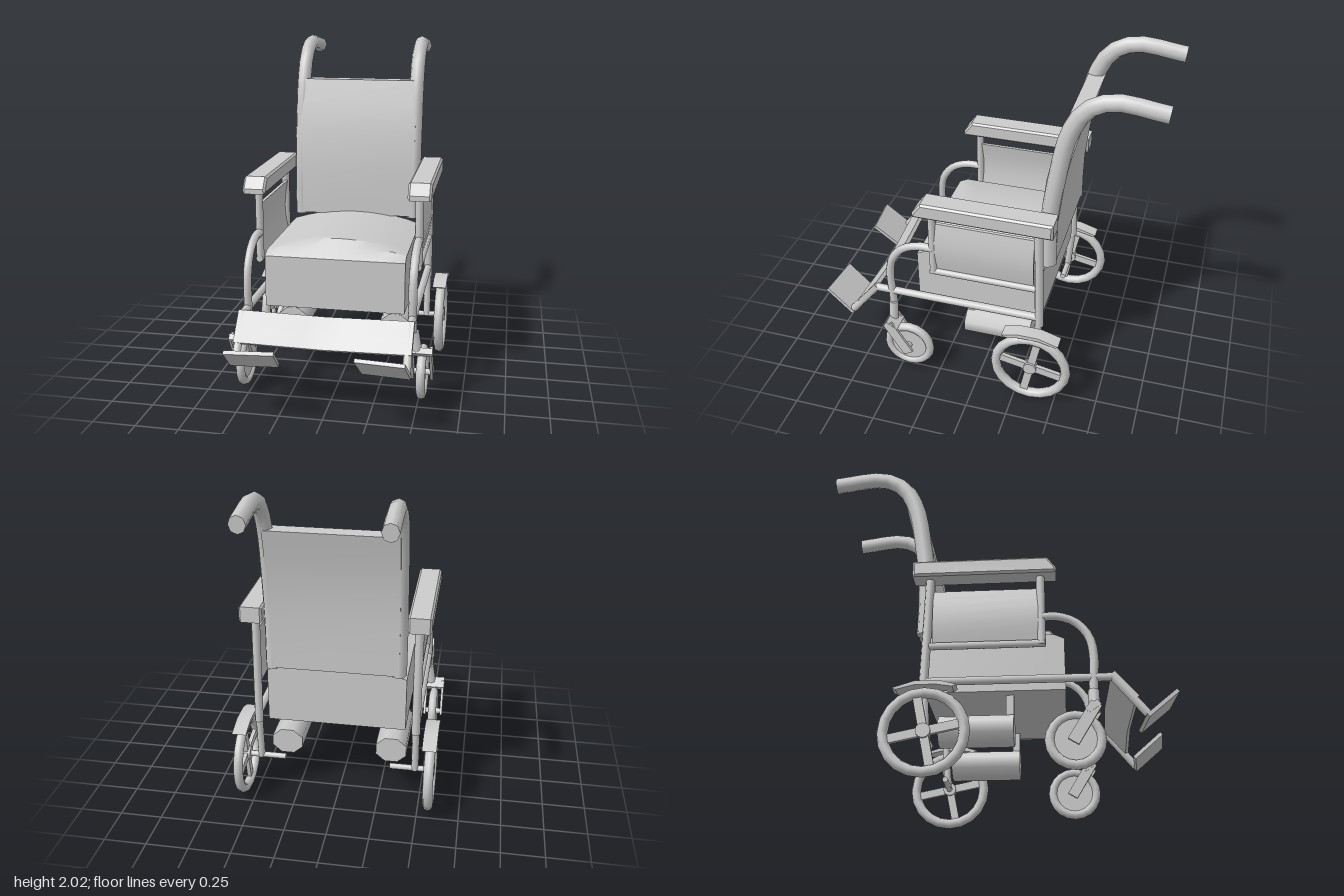
import * as THREE from 'three';
import { toCreasedNormals } from 'three/addons/utils/BufferGeometryUtils.js';

const V = (x, y, z) => new THREE.Vector3(x, y, z);
const material = new THREE.MeshStandardMaterial({ color: 0xcccccc });

function add(parent, name, geometry, x = 0, y = 0, z = 0) {
  const mesh = new THREE.Mesh(geometry, material);
  mesh.name = name;
  mesh.position.set(x, y, z);
  parent.add(mesh);
  return mesh;
}

const box = (w, h, d) => new THREE.BoxGeometry(w, h, d);

// Straight round bar between two points
function bar(parent, name, a, b, radius = 0.024, sides = 8) {
  const dir = b.clone().sub(a);
  const mesh = add(parent, name, new THREE.CylinderGeometry(radius, radius, dir.length(), sides));
  mesh.position.copy(a).add(b).multiplyScalar(0.5);
  mesh.quaternion.setFromUnitVectors(V(0, 1, 0), dir.normalize());
  return mesh;
}

// Capped tube through [z, y] points at x = 0
function tube(parent, name, points, radius, segments) {
  const group = new THREE.Group();
  group.name = name;
  parent.add(group);
  const curve = new THREE.CatmullRomCurve3(points.map(([z, y]) => V(0, y, z)));
  add(group, name + 'Shaft', new THREE.TubeGeometry(curve, segments, radius, 8));
  for (const t of [0, 1]) {
    const p = curve.getPointAt(t);
    const out = curve.getTangentAt(t).multiplyScalar(t ? 1 : -1);
    const cap = add(group, name + 'Cap', new THREE.CircleGeometry(radius, 8), p.x, p.y, p.z);
    cap.lookAt(p.clone().add(out));
  }
  return group;
}

// Side profile of [z, y] points, extruded across x and centred on x = 0
function sideExtrude(points, width, bevel = 0) {
  const shape = new THREE.Shape(points.map(([z, y]) => new THREE.Vector2(z, y)));
  const depth = width - 2 * bevel;
  const geometry = new THREE.ExtrudeGeometry(shape, {
    depth, bevelEnabled: bevel > 0, bevelSize: bevel, bevelThickness: bevel,
    bevelOffset: -bevel, bevelSegments: 1,
  });
  geometry.translate(0, 0, -depth / 2).rotateY(-Math.PI / 2);
  return toCreasedNormals(geometry, 0.6);
}

// Move every vertex by a rule, then rebuild the normals
function deform(geometry, rule) {
  const p = geometry.attributes.position;
  const v = V(0, 0, 0);
  for (let i = 0; i < p.count; i++) {
    rule(v.fromBufferAttribute(p, i));
    p.setXYZ(i, v.x, v.y, v.z);
  }
  return toCreasedNormals(geometry, 0.6);
}

function wheel(parent, name, x, y, z, radius, thickness) {
  const group = new THREE.Group();
  group.name = name;
  group.position.set(x, y, z);
  parent.add(group);
  const tyre = new THREE.TorusGeometry(radius - thickness, thickness, 8, 20);
  add(group, 'tyre', tyre.rotateY(Math.PI / 2));
  return group;
}

function disc(radius, width, sides = 16) {
  return new THREE.CylinderGeometry(radius, radius, width, sides).rotateZ(Math.PI / 2);
}

function buildSide(root, s) {
  const side = new THREE.Group();
  side.name = s > 0 ? 'leftSide' : 'rightSide';
  root.add(side);
  const X = 0.472 * s;

  // Back post curving into the push handle
  const handle = tube(side, 'pushHandle', [[-0.39, 0.89], [-0.39, 1.2], [-0.42, 1.46], [-0.48, 1.76],
    [-0.56, 1.9], [-0.69, 1.965], [-0.98, 1.938]], 0.05, 18);
  handle.position.x = 0.365 * s;
  handle.scale.x = 0.9;

  // Armrest pad, posts and side panel
  add(side, 'armrest', sideExtrude([[0.36, 1.18], [0.36, 1.21], [0.31, 1.275], [-0.45, 1.275],
    [-0.45, 1.18]], 0.135, 0.012), 0.478 * s);
  bar(side, 'armrestFrontPost', V(X, 0.76, 0.27), V(X, 1.2, 0.27));
  bar(side, 'rearPost', V(X, 1.2, -0.355), V(X, 0.5, -0.375), 0.026);
  bar(side, 'armrestLowerRail', V(X, 0.77, 0.29), V(X, 0.77, -0.35), 0.022);
  const panel = deform(new THREE.BoxGeometry(0.02, 0.33, 0.59, 1, 6, 1), (v) => {
    v.x += s * 0.02 * Math.cos((v.y / 0.165) * Math.PI / 2);
  });
  add(side, 'sidePanel', panel, 0.462 * s, 0.945, -0.04);

  // Lower rail, legrest and bent front tube
  bar(side, 'lowerRail', V(X, 0.56, 0.65), V(X, 0.56, -0.37));
  bar(side, 'legrestBar', V(X, 0.57, 0.64), V(X, 0.345, 0.82));
  const front = tube(side, 'frontTube', [[0.27, 0.93], [0.36, 0.93], [0.46, 0.89], [0.53, 0.8],
    [0.55, 0.69], [0.545, 0.56], [0.54, 0.45]], 0.025, 16);
  front.position.x = X;

  // Tilted footplate
  const foot = add(side, 'footplate', box(0.27, 0.022, 0.22), 0.357 * s, 0.4, 0.888);
  foot.rotation.set(-0.7, -0.09 * s, 0, 'YXZ');

  // Front caster with fork
  const cx = 0.524 * s;
  bar(side, 'casterStem', V(0.48 * s, 0.48, 0.54), V(0.5 * s, 0.36, 0.54), 0.03);
  const crown = add(side, 'forkCrown', box(0.13, 0.035, 0.08), cx, 0.355, 0.53);
  crown.rotation.x = -0.6;
  for (const dx of [-0.055, 0.055]) {
    const blade = add(side, 'forkBlade', box(0.016, 0.24, 0.065), cx + dx, 0.27, 0.485);
    blade.rotation.x = 0.55;
  }
  const caster = wheel(side, 'casterWheel', cx, 0.195, 0.435, 0.16, 0.027);
  add(caster, 'casterDisc', disc(0.115, 0.022));
  add(caster, 'casterAxle', disc(0.02, 0.12, 8));

  // Rear wheel with four spokes
  const rear = wheel(side, 'rearWheel', 0.565 * s, 0.245, -0.35, 0.245, 0.03);
  add(rear, 'hub', disc(0.04, 0.05, 12));
  for (const turn of [0, Math.PI / 2]) {
    const spokes = add(rear, 'spokes', box(0.024, 0.4, 0.048));
    spokes.rotation.x = turn - 0.2;
  }
  bar(side, 'rearAxle', V(0.32 * s, 0.245, -0.35), V(0.58 * s, 0.245, -0.35), 0.018);
  bar(side, 'axleStrut', V(X, 0.54, -0.373), V(X, 0.235, -0.35), 0.022);

  // Curved mudguard over the rear wheel
  add(side, 'mudguard', sideExtrude([[-0.18, 0.49], [-0.27, 0.515], [-0.4, 0.515], [-0.52, 0.478],
    [-0.5, 0.468], [-0.4, 0.492], [-0.29, 0.492], [-0.2, 0.478]], 0.085), 0.562 * s);

  // Drive motor hung under the seat
  const motor = add(side, 'motor', new THREE.CylinderGeometry(0.1, 0.1, 0.41, 8), 0.32 * s, 0.322, -0.095);
  motor.geometry.rotateY(Math.PI / 8).rotateX(Math.PI / 2).scale(1, 0.86, 1);
  add(side, 'motorBracket', box(0.05, 0.2, 0.045), 0.32 * s, 0.46, 0.087);
}

export function createModel() {
  const root = new THREE.Group();
  root.name = 'wheelchair';

  // Padded seat: crowned top, sloping front edge
  const cushion = deform(new THREE.BoxGeometry(0.82, 0.4, 0.77, 10, 4, 14), (v) => {
    const top = (v.y + 0.2) / 0.4;
    const crown = 0.07 * (v.x / 0.41) ** 2;
    const nose = 0.095 * Math.max(0, (v.z - 0.275) / 0.11);
    v.y -= top * Math.max(crown, nose);
  });
  add(root, 'seatCushion', cushion, 0, 0.72, 0.01);

  // Backrest following the curve of the back posts
  add(root, 'backrest', sideExtrude([[-0.345, 0.9], [-0.342, 1.2], [-0.365, 1.45], [-0.395, 1.6],
    [-0.435, 1.76], [-0.535, 1.76], [-0.495, 1.6], [-0.465, 1.45], [-0.44, 1.2], [-0.435, 0.9]], 0.74));

  // Calf strap sagging between the legrests
  const strap = deform(new THREE.BoxGeometry(0.99, 0.025, 0.19, 8, 1, 2), (v) => {
    v.y -= 0.025 * (1 - Math.abs(v.x) / 0.495);
  });
  add(root, 'calfStrap', strap, 0, 0.505, 0.707).rotation.x = 0.876;

  for (const s of [1, -1]) buildSide(root, s);
  return root;
}
